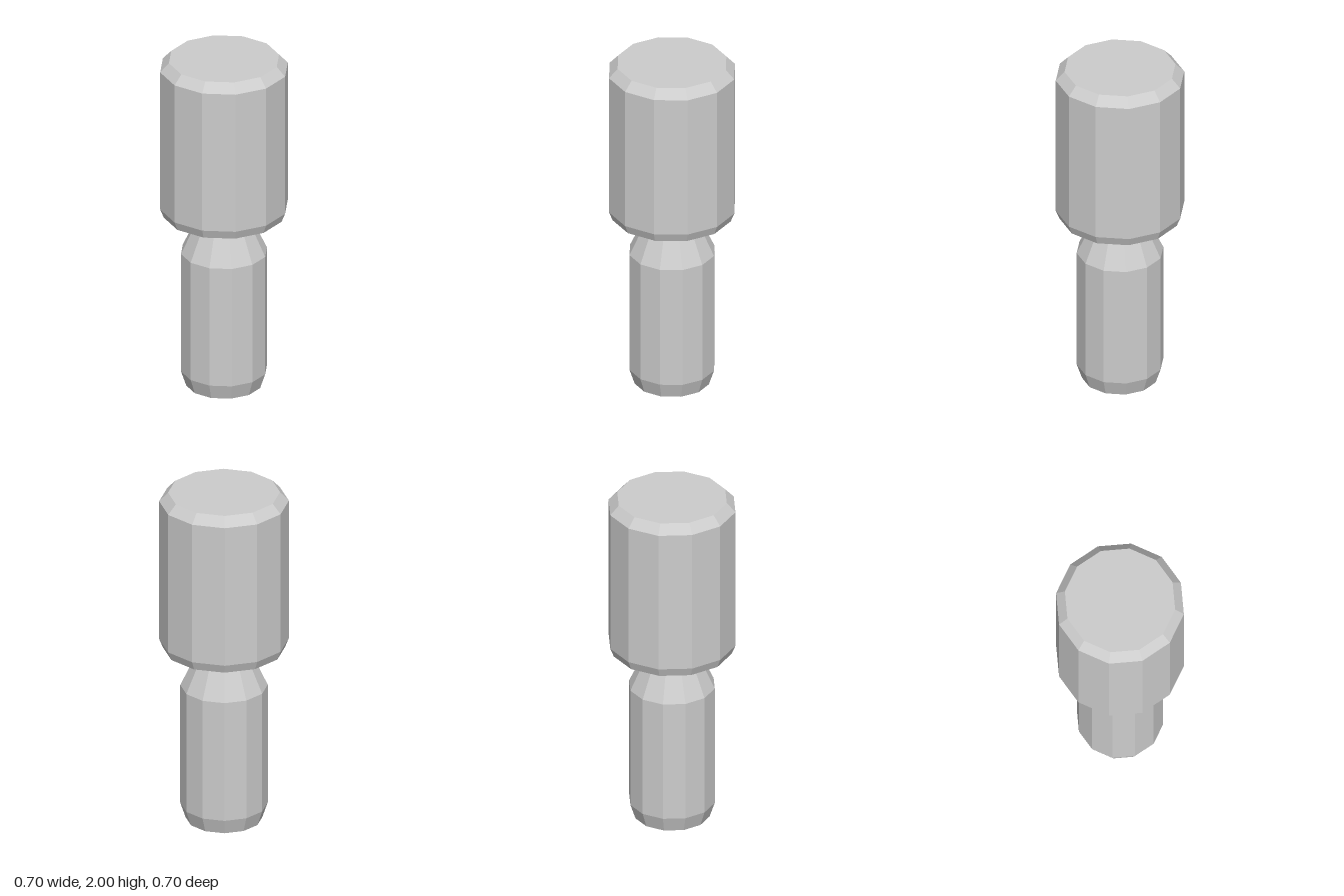
import * as THREE from 'three';

const SIDES = 12;

// Faceted turned part; profile is [distance to flat side, height], bottom to top
function turned(name, profile, material) {
  const toCorner = 1 / Math.cos(Math.PI / SIDES);
  const points = profile.map(([r, y]) => new THREE.Vector2(r * toCorner, y));
  const geometry = new THREE.LatheGeometry(points, SIDES, Math.PI / SIDES).toNonIndexed();
  geometry.computeVertexNormals(); // one normal per facet
  const mesh = new THREE.Mesh(geometry, material);
  mesh.name = name;
  return mesh;
}

export function createModel() {
  const group = new THREE.Group();
  group.name = 'facetedPeg';

  const grey = new THREE.MeshStandardMaterial({ color: 0xcccccc });
  grey.name = 'light grey';

  // Narrow handle with a chamfered foot and a tapered shoulder
  group.add(turned('handle', [
    [0, 0], [0.207, 0], [0.236, 0.09], [0.236, 0.815], [0.143, 1.02],
  ], grey));

  // Wide head with a shallow sloped underside and chamfered rims
  group.add(turned('head', [
    [0.143, 1.02], [0.33, 1.048], [0.35, 1.1], [0.35, 1.947], [0.302, 2], [0, 2],
  ], grey));

  return group;
}
